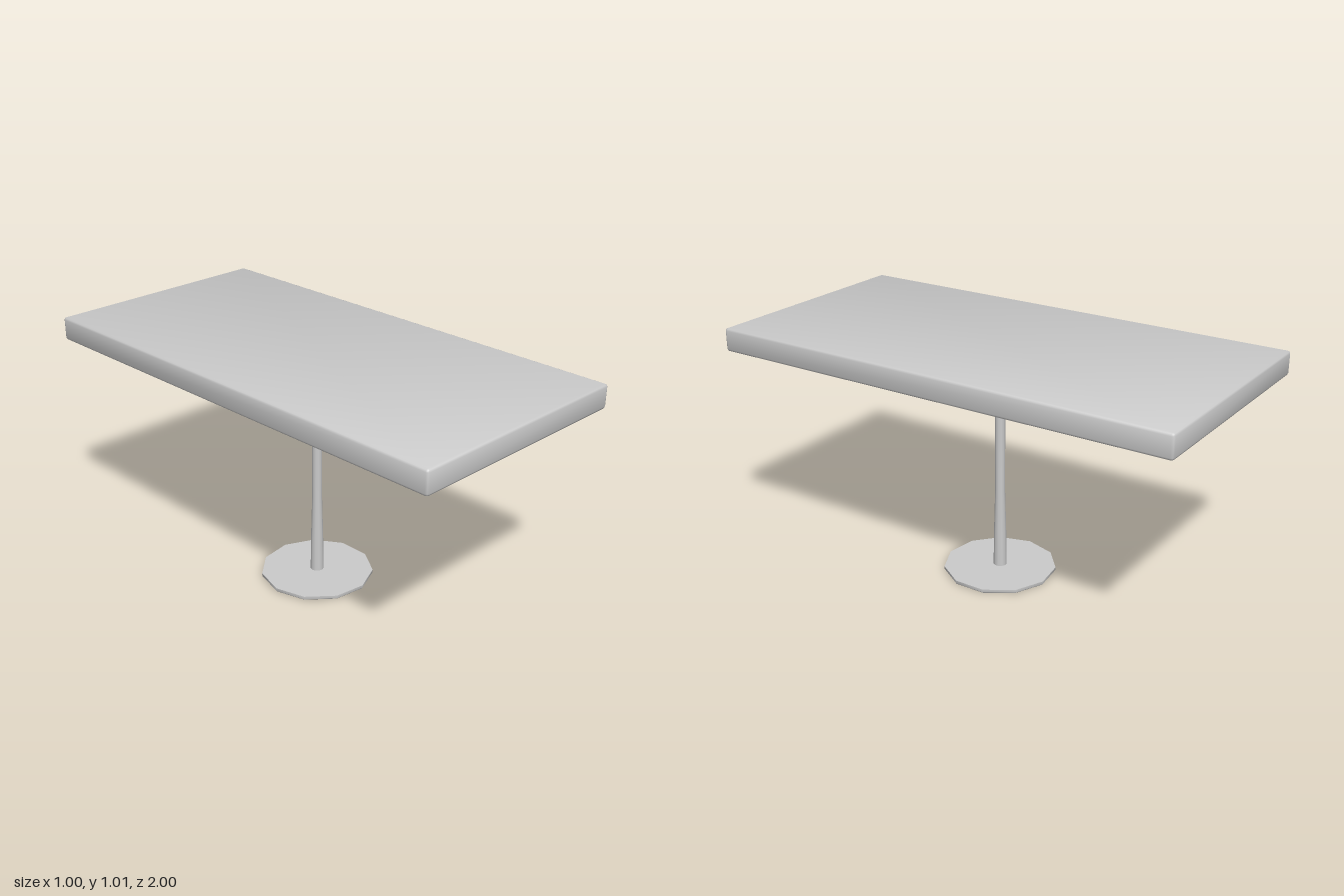
import * as THREE from 'three';
import { RoundedBoxGeometry } from 'three/addons/geometries/RoundedBoxGeometry.js';

const material = new THREE.MeshStandardMaterial({ color: 0xcccccc });
const SIDES = 11;

function addPart(group, name, geometry) {
  const mesh = new THREE.Mesh(geometry, material);
  mesh.name = name;
  group.add(mesh);
  return mesh;
}

// Turned part with eleven sides, one corner pointing to -x; profile runs from bottom to top
function turned(profile) {
  const points = profile.map(([r, y]) => new THREE.Vector2(r, y));
  return new THREE.LatheGeometry(points, SIDES, -Math.PI / 2);
}

// Slab with small bevels; normals lean outward so the shading flows over the edges
function softSlab(width, height, depth, bevel) {
  const geometry = new RoundedBoxGeometry(width, height, depth, 1, bevel);
  const { position, normal } = geometry.attributes;
  const p = new THREE.Vector3();
  const n = new THREE.Vector3();
  for (let i = 0; i < position.count; i++) {
    p.fromBufferAttribute(position, i);
    n.fromBufferAttribute(normal, i);
    n.x += 0.25 * Math.sign(p.x);
    n.y += 0.25 * Math.sign(p.y);
    n.z += 0.25 * Math.sign(p.z);
    n.normalize();
    normal.setXYZ(i, n.x, n.y, n.z);
  }
  return geometry;
}

export function createModel() {
  const table = new THREE.Group();
  table.name = 'pedestalTable';

  // Rectangular top, long side along z
  addPart(table, 'tableTop', softSlab(1, 0.098, 2, 0.011)).position.y = 0.963;

  // Slender stem, slightly wider at the foot and flaring into a trumpet under the top
  addPart(table, 'stem', turned([
    [0.028, 0.012], [0.026, 0.17], [0.021, 0.36], [0.021, 0.7], [0.022, 0.77],
    [0.028, 0.8], [0.04, 0.828], [0.082, 0.865], [0.13, 0.892], [0.187, 0.916],
  ]));

  // Thin foot plate: underside with rim, and a flat upper face
  const base = new THREE.Group();
  base.name = 'base';
  table.add(base);
  addPart(base, 'baseUnderside', turned([[0, 0], [0.234, 0], [0.237, 0.004], [0.237, 0.016]]));
  addPart(base, 'baseUpperFace', turned([[0.237, 0.016], [0, 0.016]]));

  return table;
}
